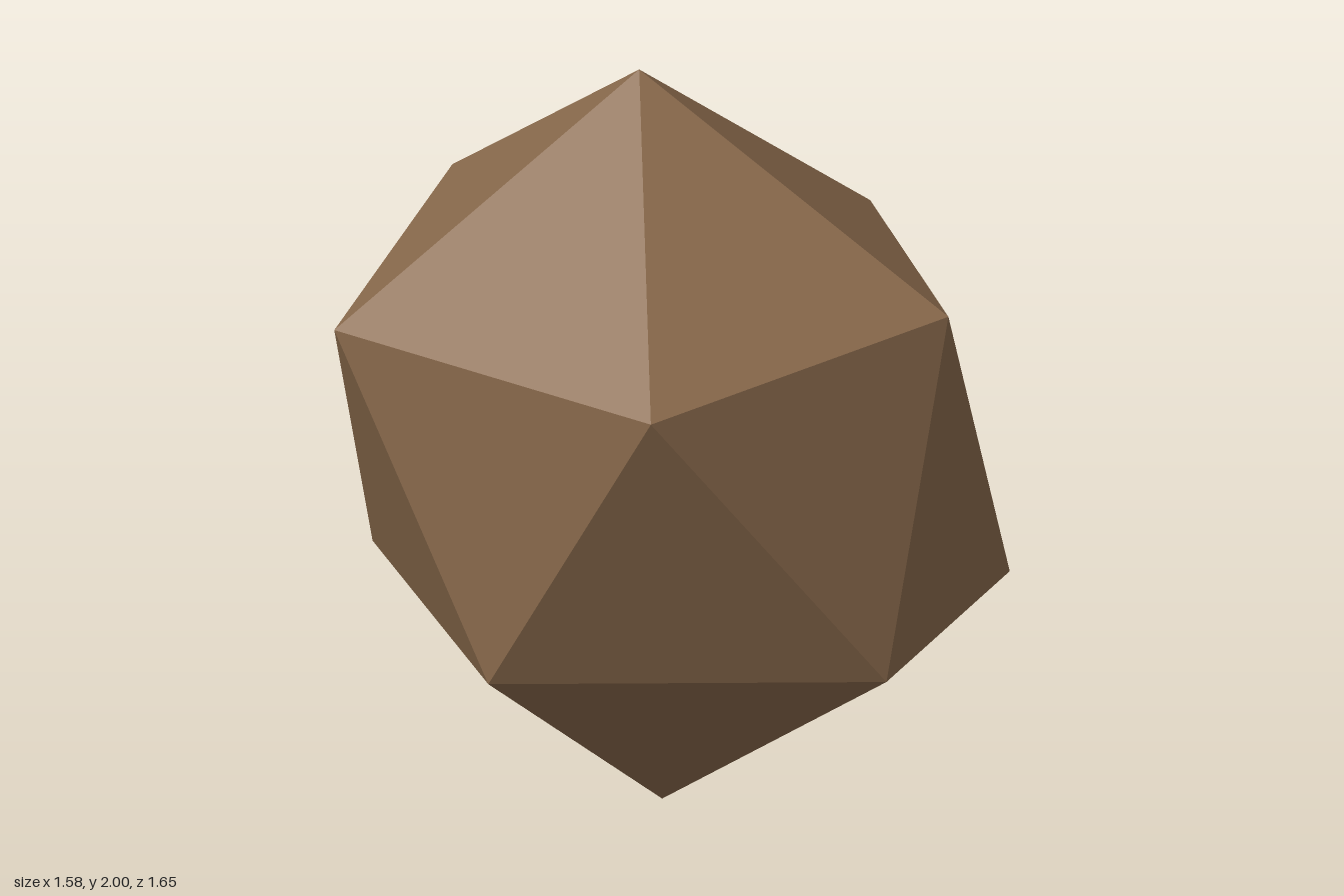
import * as THREE from 'three';

// Faceted boulder: two poles and two staggered five-point rings
export function createModel() {
  const earthBrown = new THREE.MeshStandardMaterial({ color: 0x8a6a4c, flatShading: true });
  earthBrown.name = 'earthBrown';

  const top = [-0.055, 2, -0.055];
  const bottom = [-0.055, 0, 0.02];
  // Rings run front, right, back, left; each lower point sits after its upper one
  const upper = [[0.175, 1.46, 0.77], [0.79, 1.375, 0.02], [0.15, 1.46, -0.83], [-0.79, 1.415, -0.46], [-0.76, 1.415, 0.55]];
  const lower = [[0.735, 0.5, 0.52], [0.735, 0.5, -0.48], [-0.255, 0.57, -0.765], [-0.755, 0.55, 0.015], [-0.145, 0.57, 0.825]];

  const points = [];
  const face = (a, b, c) => points.push(...a, ...b, ...c);
  for (let i = 0; i < 5; i++) {
    const j = (i + 1) % 5;
    face(top, upper[i], upper[j]); // cap
    face(upper[i], lower[i], upper[j]); // band, pointing down
    face(lower[i], lower[j], upper[j]); // band, pointing up
    face(bottom, lower[j], lower[i]); // base
  }

  const geometry = new THREE.BufferGeometry();
  geometry.setAttribute('position', new THREE.Float32BufferAttribute(points, 3));
  geometry.computeVertexNormals();

  const rock = new THREE.Mesh(geometry, earthBrown);
  rock.name = 'rock';
  const model = new THREE.Group();
  model.name = 'boulder';
  model.add(rock);
  return model;
}
